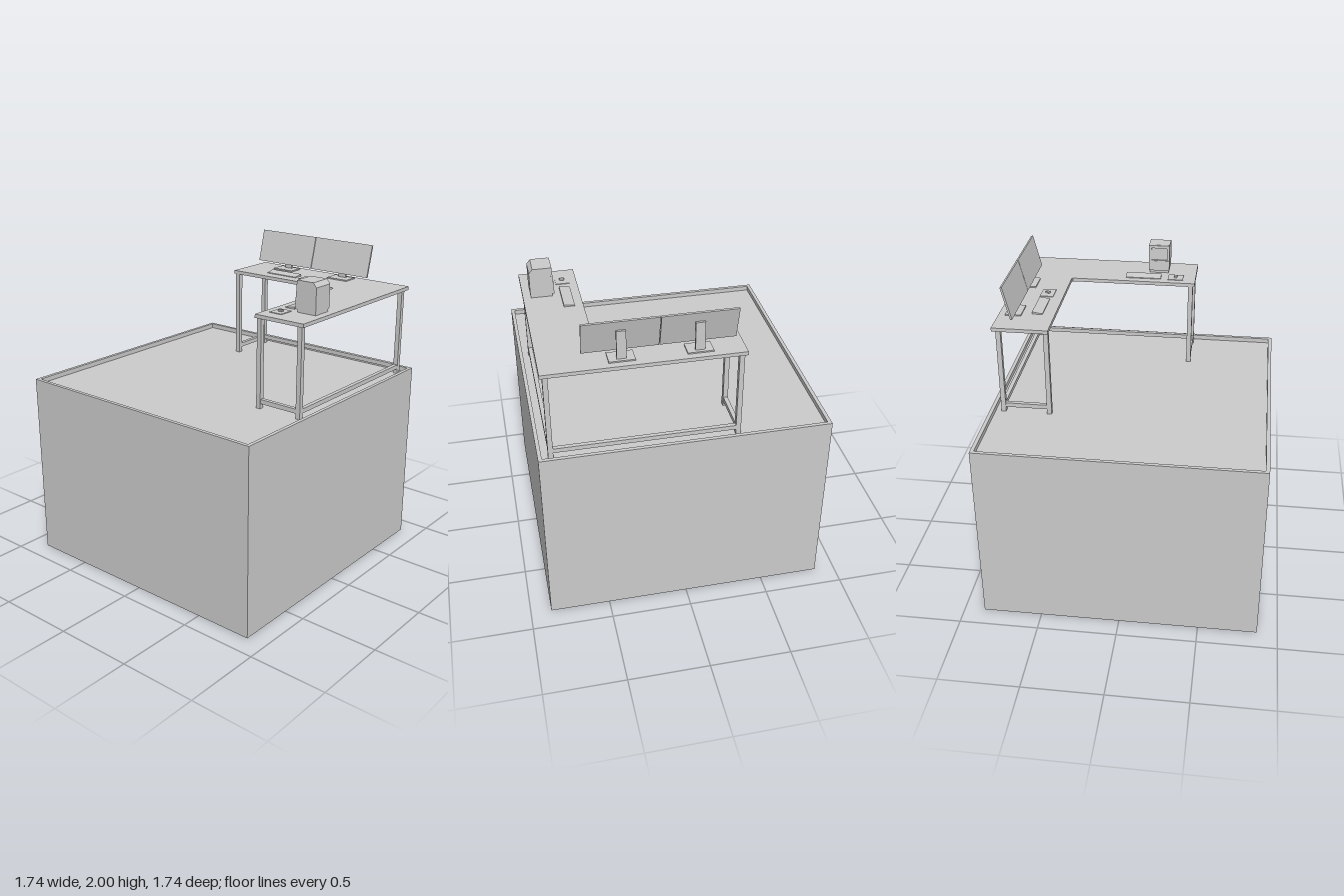
import * as THREE from 'three';
import { RoundedBoxGeometry } from 'three/addons/geometries/RoundedBoxGeometry.js';

const mat = new THREE.MeshStandardMaterial({ color: 0xcccccc, flatShading: true });
const shellMat = new THREE.MeshStandardMaterial({ color: 0xcccccc, flatShading: true, side: THREE.DoubleSide });

const RIM_Y = 1.2, FLOOR_Y = 1.17, DESK_Y = 1.752, DESK_T = 0.023, LEG = 0.03;

function add(parent, name, geometry, x = 0, y = 0, z = 0, material = mat) {
  const mesh = new THREE.Mesh(geometry, material);
  mesh.name = name;
  mesh.position.set(x, y, z);
  parent.add(mesh);
  return mesh;
}

const box = (parent, name, w, h, d, x, y, z) =>
  add(parent, name, new THREE.BoxGeometry(w, h, d), x, y, z);

const shapeOf = (points) => new THREE.Shape(points.map(([x, y]) => new THREE.Vector2(x, y)));

// Extrusion centred on its own depth
function prism(points, depth) {
  const geometry = new THREE.ExtrudeGeometry(shapeOf(points), { depth, bevelEnabled: false });
  return geometry.translate(0, 0, -depth / 2);
}

function group(parent, name, x = 0, y = 0, z = 0) {
  const g = new THREE.Group();
  g.name = name;
  g.position.set(x, y, z);
  parent.add(g);
  return g;
}

// Hollow plinth, open below, with a narrow raised rim around the floor
function buildPlinth(parent) {
  const half = 0.872, inner = 0.849, s = Math.SQRT2;
  const profile = [[half * s, 0], [half * s, RIM_Y], [inner * s, RIM_Y], [inner * s, FLOOR_Y], [0, FLOOR_Y]];
  const geometry = new THREE.LatheGeometry(
    profile.map(([r, y]) => new THREE.Vector2(r, y)), 4, Math.PI / 4);
  add(parent, 'plinth', geometry, 0, 0, 0, shellMat);
}

// L-shaped desk on five legs with foot rails
function buildDesk(parent) {
  const desk = group(parent, 'desk');
  const outline = [
    [-0.337, -0.835], [0.827, -0.835], [0.827, 0.332], [0.482, 0.332],
    [0.482, -0.48], [0.474, -0.488], [-0.337, -0.488],
  ];
  const top = new THREE.ExtrudeGeometry(shapeOf(outline), { depth: DESK_T, bevelEnabled: false });
  top.rotateX(Math.PI / 2);
  add(desk, 'deskTop', top, 0, DESK_Y, 0);

  const legTop = DESK_Y - DESK_T, legH = legTop - FLOOR_Y;
  const legs = [[-0.31, -0.505], [-0.31, -0.797], [0.795, -0.797], [0.795, 0.305], [0.505, 0.305]];
  legs.forEach(([x, z]) => box(desk, 'deskLeg', LEG, legH, LEG, x, FLOOR_Y + legH / 2, z));

  // Rails join each leg to the next
  for (let i = 0; i < legs.length - 1; i++) {
    const [ax, az] = legs[i], [bx, bz] = legs[i + 1];
    const dx = Math.abs(bx - ax), dz = Math.abs(bz - az);
    box(desk, 'footRail', dx > 0 ? dx - LEG : 0.026, 0.028, dz > 0 ? dz - LEG : 0.026,
      (ax + bx) / 2, 1.216, (az + bz) / 2);
  }
}

// Tilted flat screen on a post and base plate
function buildMonitor(parent, x) {
  const monitor = group(parent, 'monitor', x, DESK_Y, -0.742);
  const panel = box(monitor, 'screenPanel', 0.438, 0.212, 0.012, 0, 0.143, 0);
  panel.rotation.x = -0.245;
  box(monitor, 'standBase', 0.15, 0.008, 0.1, 0, 0.004, 0);
  box(monitor, 'standPost', 0.055, 0.175, 0.014, 0, 0.0955, -0.023);
  box(monitor, 'standMount', 0.05, 0.04, 0.022, 0, 0.145, -0.012);
}

// Wedge keyboard, raised towards its back edge
function buildKeyboard(parent, x, z, turn) {
  const wedge = [[-0.033, 0], [0.033, 0], [0.033, 0.014], [0.028, 0.014], [-0.033, 0.005]];
  add(parent, 'keyboard', prism(wedge, 0.234), x, DESK_Y, z).rotation.y = turn;
}

// Mouse on its pad
function buildMouse(parent, x, z, padW, padD, turn) {
  const g = group(parent, 'mouseAndPad', x, DESK_Y, z);
  box(g, 'mousePad', padW, 0.004, padD, 0, 0.002, 0);
  const mouse = add(g, 'mouse', new RoundedBoxGeometry(0.02, 0.012, 0.03, 2, 0.004), 0, 0.009, 0);
  mouse.rotation.y = turn;
}

// Compact all-in-one computer facing the inside of the desk
function buildComputer(parent) {
  const pc = group(parent, 'compactComputer', 0.708, DESK_Y, 0.08);
  const side = [
    [-0.062, 0.018], [0.074, 0.018], [0.074, 0.165], [0.052, 0.192], [-0.053, 0.192],
  ];
  add(pc, 'computerBody', prism(side, 0.138));
  box(pc, 'computerFoot', 0.128, 0.018, 0.126, 0.006, 0.009, 0);

  // Front bezel with an opening around the screen
  const bezel = shapeOf([[-0.069, 0], [0.069, 0], [0.069, 0.172], [-0.069, 0.172]]);
  const hole = [[-0.052, 0.072], [-0.052, 0.154], [0.052, 0.154], [0.052, 0.072]];
  bezel.holes.push(new THREE.Path(hole.map(([x, y]) => new THREE.Vector2(x, y))));
  const front = new THREE.ExtrudeGeometry(bezel, { depth: 0.01, bevelEnabled: false });
  front.rotateY(-Math.PI / 2);
  const face = add(pc, 'computerBezel', front, -0.062, 0.019, 0);
  face.rotation.z = -0.052;
  box(face, 'driveSlot', 0.003, 0.008, 0.05, -0.011, 0.04, 0.03);
  box(face, 'chinLedge', 0.004, 0.012, 0.138, -0.011, 0.062, 0);
}

export function createModel() {
  const model = new THREE.Group();
  model.name = 'deskOnPlinth';
  buildPlinth(model);
  buildDesk(model);
  [-0.076, 0.366].forEach((x) => buildMonitor(model, x));
  buildKeyboard(model, 0.005, -0.598, Math.PI / 2);
  buildKeyboard(model, 0.566, -0.015, 0);
  buildMouse(model, 0.215, -0.595, 0.115, 0.085, -0.5);
  buildMouse(model, 0.57, 0.2, 0.085, 0.1, Math.PI / 2);
  buildComputer(model);
  return model;
}
